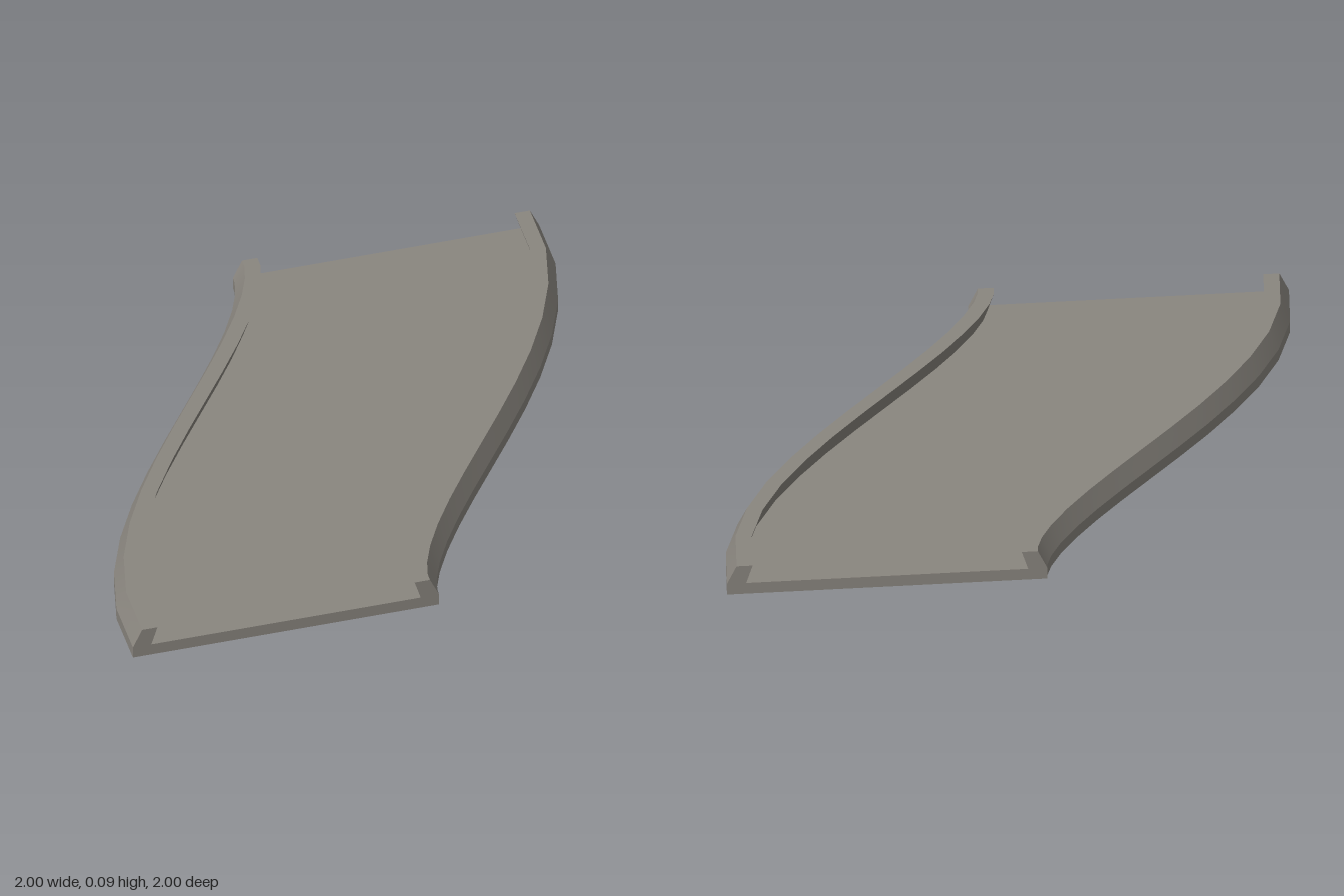
import * as THREE from 'three';

const SEGMENTS = 14;
const DECK = 0.036; // deck thickness
const TOP = 0.094;  // height of the side rails

// S-shaped centre line from the front (+z) to the back (-z)
const path = new THREE.CubicBezierCurve3(
  new THREE.Vector3(-0.5, 0, 1), new THREE.Vector3(-0.5, 0, 0.4),
  new THREE.Vector3(0.5, 0, -0.4), new THREE.Vector3(0.5, 0, -1));

// Place a cross-section point (u across, y up) at station i of the path
function place(i, [u, y]) {
  const t = i / SEGMENTS;
  const p = path.getPoint(t);
  const d = path.getTangent(t);
  return [p.x - d.z * u, y, p.z + d.x * u];
}

// Sweep a counter-clockwise convex section; edges in 'hidden' are left open
function sweep(section, hidden) {
  const pos = [], index = [];
  section.forEach((a, e) => {
    if (hidden.includes(e)) return;
    const b = section[(e + 1) % section.length];
    const base = pos.length / 3;
    for (let i = 0; i <= SEGMENTS; i++) {
      pos.push(...place(i, a), ...place(i, b));
      if (i === SEGMENTS) continue;
      const k = base + i * 2;
      index.push(k, k + 2, k + 3, k, k + 3, k + 1);
    }
  });
  // end caps
  for (const station of [0, SEGMENTS]) {
    const base = pos.length / 3;
    section.forEach((p) => pos.push(...place(station, p)));
    for (let j = 1; j < section.length - 1; j++) {
      if (station === 0) index.push(base, base + j, base + j + 1);
      else index.push(base, base + j + 1, base + j);
    }
  }
  const geometry = new THREE.BufferGeometry();
  geometry.setAttribute('position', new THREE.Float32BufferAttribute(pos, 3));
  geometry.setIndex(index);
  geometry.computeVertexNormals();
  return geometry;
}

export function createModel() {
  const group = new THREE.Group();
  group.name = 'curvedTrack';
  const stone = new THREE.MeshStandardMaterial({ color: 0x8a867f });
  stone.name = 'warm grey';

  const add = (name, section, hidden) => {
    const mesh = new THREE.Mesh(sweep(section, hidden), stone);
    mesh.name = name;
    group.add(mesh);
  };

  // Flat deck; the strips under the rails stay open
  add('deck', [[-0.5, 0], [0.5, 0], [0.5, DECK], [0.44, DECK], [-0.44, DECK], [-0.5, DECK]], [2, 4]);

  // Rails leaning inward, mirrored across the deck
  const rail = [[-0.5, DECK], [-0.44, DECK], [-0.42, TOP], [-0.47, TOP]];
  const mirrored = rail.map(([u, y]) => [-u, y]).reverse();
  add('rightRail', rail, [0]);
  add('leftRail', mirrored, [2]);

  return group;
}
